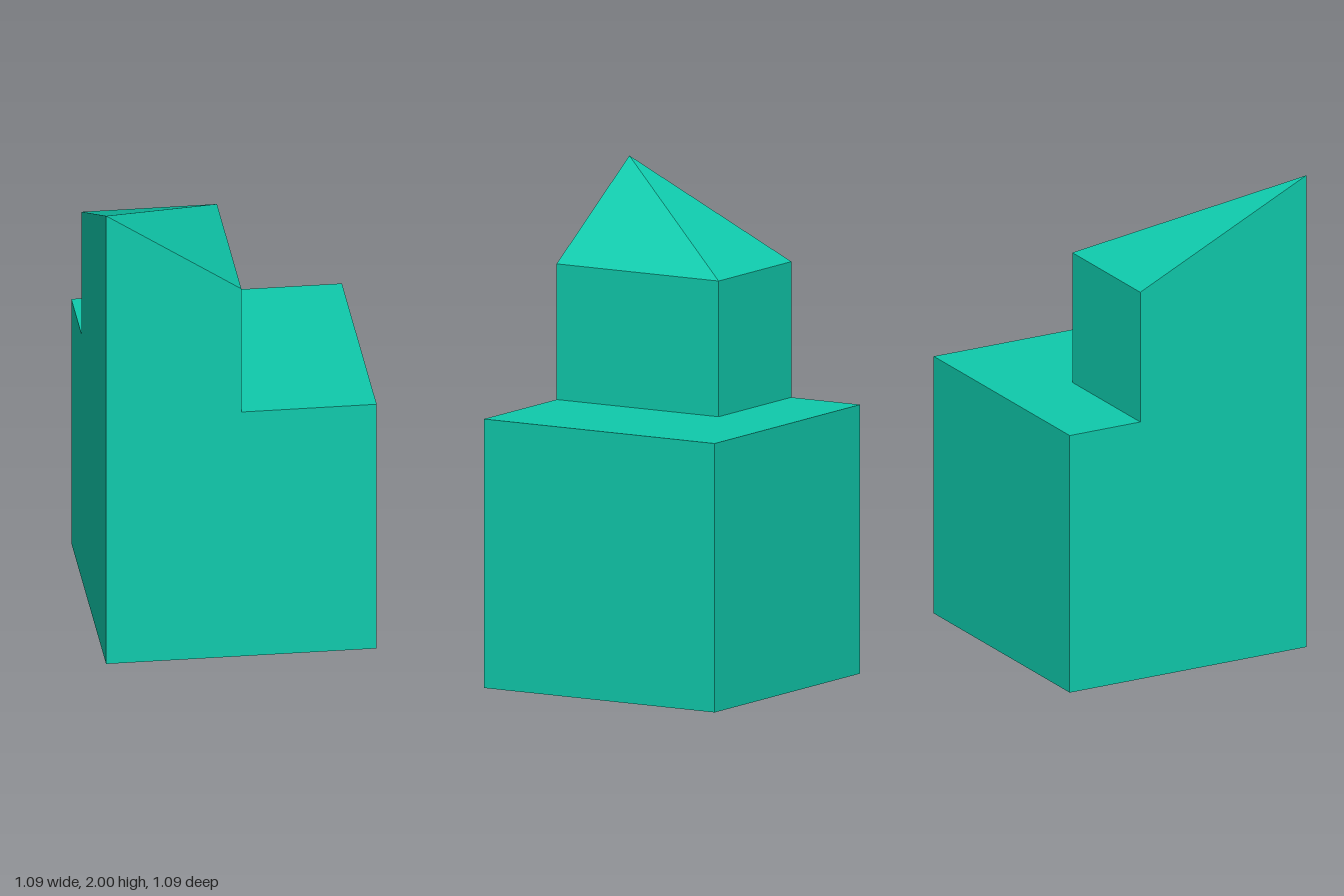
import * as THREE from 'three';

const WIDTH = 1.09; // square base and its height
const HALF = WIDTH / 2;
const TOWER_DEPTH = 0.765;
const EAVES = 1.64;
const PEAK = 2;

export function createModel() {
  const model = new THREE.Group();
  const teal = new THREE.MeshStandardMaterial({ color: 0x0fcaac });
  teal.name = 'teal';

  // Cube base
  const base = new THREE.Mesh(new THREE.BoxGeometry(WIDTH, WIDTH, WIDTH), teal);
  base.name = 'base';
  base.position.y = HALF;
  model.add(base);

  // Corner tower: a block with one top corner pulled up to a peak
  const height = EAVES - WIDTH;
  const block = new THREE.BoxGeometry(HALF, height, TOWER_DEPTH).toNonIndexed();
  const p = block.attributes.position;
  for (let i = 0; i < p.count; i++) {
    if (p.getX(i) < 0 && p.getY(i) > 0 && p.getZ(i) > 0) p.setY(i, height / 2 + PEAK - EAVES);
  }
  block.computeVertexNormals();
  const tower = new THREE.Mesh(block, teal);
  tower.name = 'tower';
  tower.position.set(-HALF / 2, WIDTH + height / 2, HALF - TOWER_DEPTH / 2);
  model.add(tower);

  return model;
}
